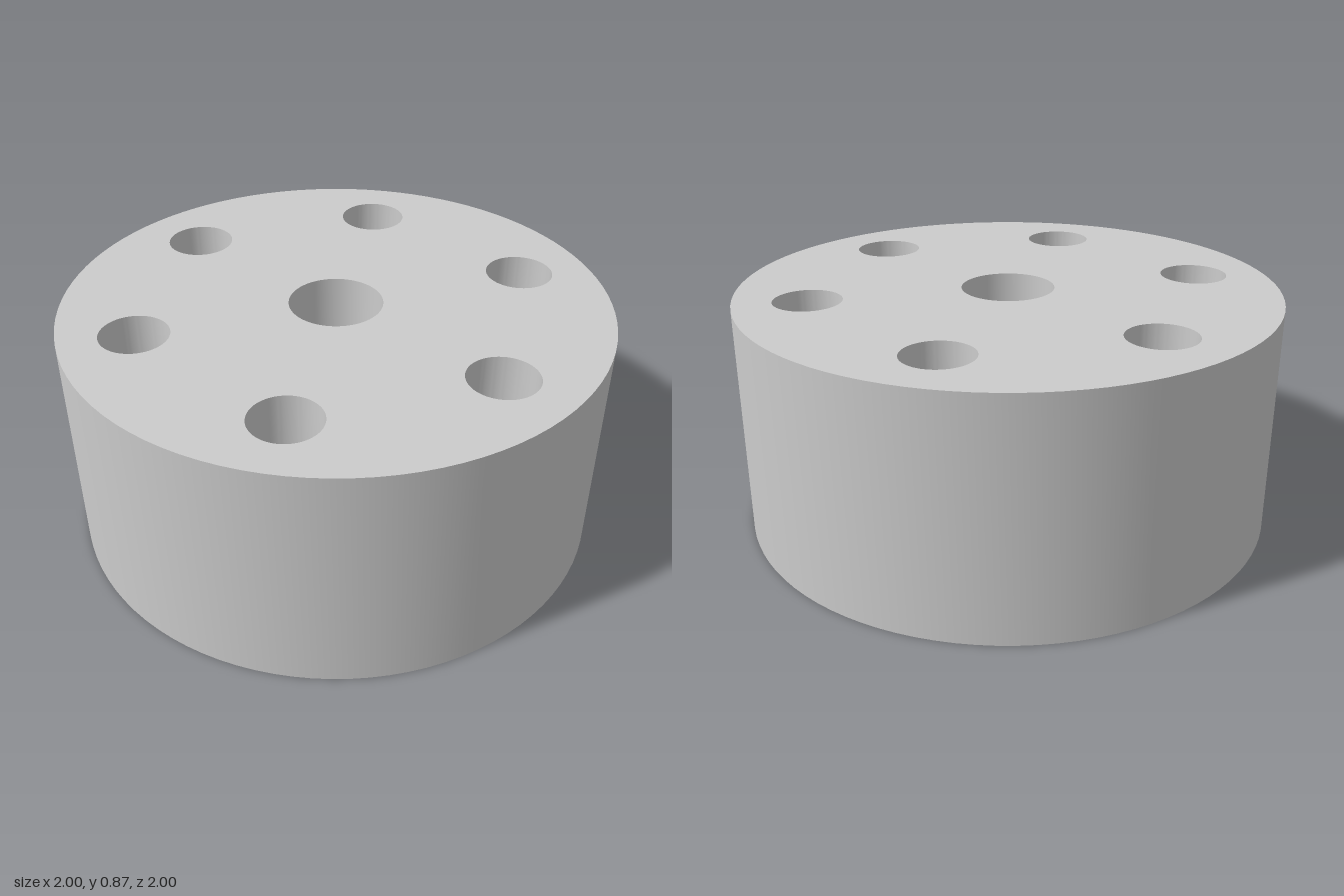
import * as THREE from 'three';
import { toCreasedNormals } from 'three/addons/utils/BufferGeometryUtils.js';

const RADIUS = 1;
const HEIGHT = 0.865;
const BORE_RADIUS = 0.172;
const BOLT_RADIUS = 0.125;
const BOLT_CIRCLE = 0.733;
const BOLT_COUNT = 6;

function circle(PathType, x, y, radius) {
  return new PathType().absarc(x, y, radius, 0, Math.PI * 2, false);
}

export function createModel() {
  const group = new THREE.Group();
  group.name = 'drilledDisc';

  // Disc outline with the central bore
  const outline = circle(THREE.Shape, 0, 0, RADIUS);
  outline.holes.push(circle(THREE.Path, 0, 0, BORE_RADIUS));

  // Ring of through holes
  for (let i = 0; i < BOLT_COUNT; i++) {
    const a = (i / BOLT_COUNT) * Math.PI * 2;
    outline.holes.push(
      circle(THREE.Path, BOLT_CIRCLE * Math.cos(a), BOLT_CIRCLE * Math.sin(a), BOLT_RADIUS)
    );
  }

  // Extruded upwards, smooth walls with sharp rims
  const extruded = new THREE.ExtrudeGeometry(outline, {
    depth: HEIGHT,
    bevelEnabled: false,
    curveSegments: 48,
  });
  extruded.rotateX(-Math.PI / 2);

  const disc = new THREE.Mesh(
    toCreasedNormals(extruded, Math.PI / 6),
    new THREE.MeshStandardMaterial({ color: 0xcccccc })
  );
  disc.name = 'disc';
  group.add(disc);
  return group;
}
